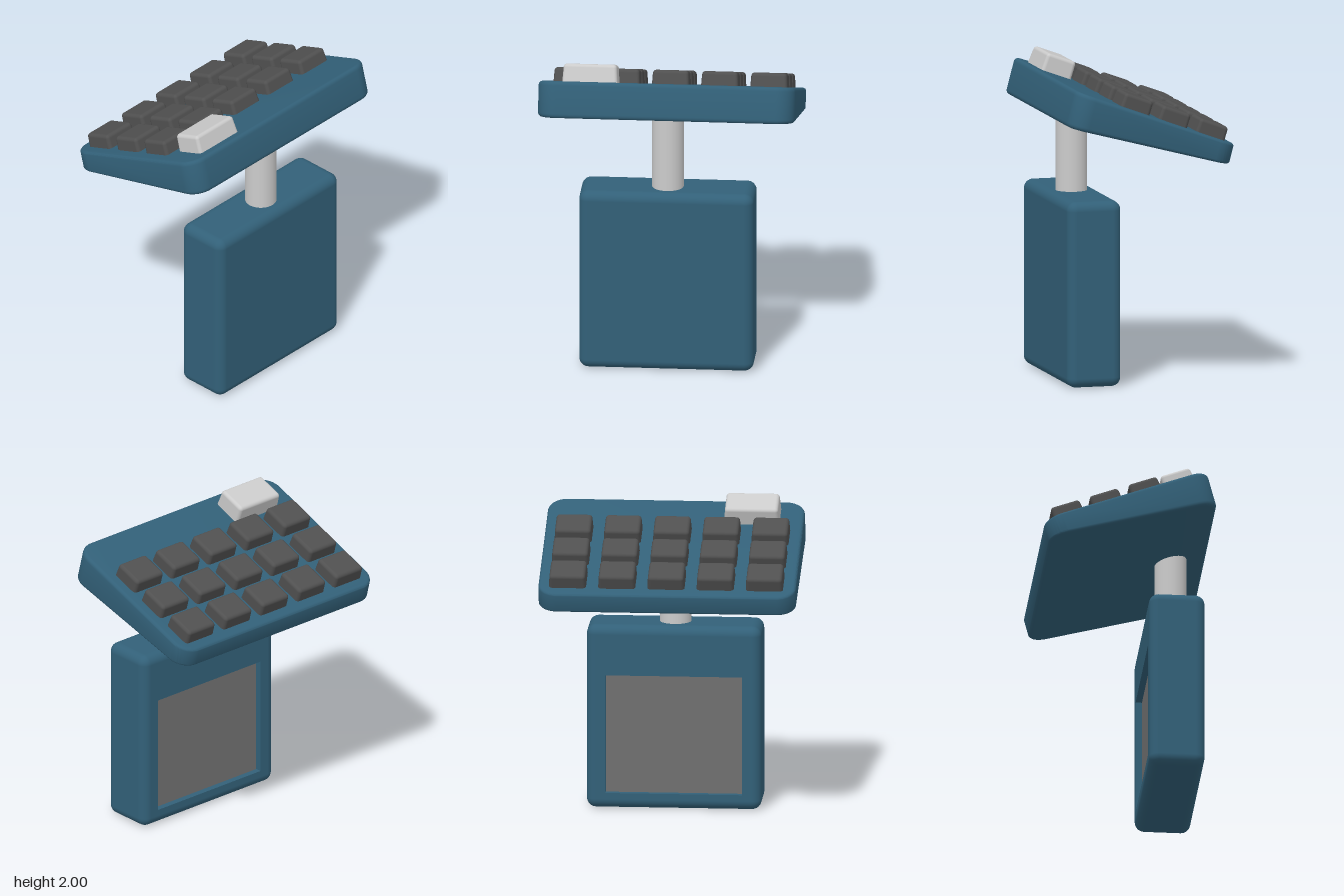
import * as THREE from 'three';
import { toCreasedNormals } from 'three/addons/utils/BufferGeometryUtils.js';
import { RoundedBoxGeometry } from 'three/addons/geometries/RoundedBoxGeometry.js';

const material = (color) => new THREE.MeshStandardMaterial({ color });
const blue = material(0x326078);
const dark = material(0x505050);
const light = material(0xcccccc);
const grey = material(0x707070);

function addMesh(parent, name, geometry, mat) {
  const mesh = new THREE.Mesh(geometry, mat);
  mesh.name = name;
  parent.add(mesh);
  return mesh;
}

function roundedRect(w, h, r) {
  const s = new THREE.Shape(), x = w / 2 - r, y = h / 2 - r;
  s.absarc(x, y, r, 0, Math.PI / 2);
  s.absarc(-x, y, r, Math.PI / 2, Math.PI);
  s.absarc(-x, -y, r, Math.PI, Math.PI * 1.5);
  s.absarc(x, -y, r, Math.PI * 1.5, Math.PI * 2);
  s.closePath();
  return s;
}

function rectPath(Type, x, y0, y1) {
  return new Type([[-x, y0], [x, y0], [x, y1], [-x, y1]].map(([a, b]) => new THREE.Vector2(a, b)));
}

// Rounded box whose flat -x face is left open
function openRoundedBox(w, h, d, r) {
  const g = new RoundedBoxGeometry(w, h, d, 5, r);
  const p = g.attributes.position, n = g.attributes.normal;
  const pos = [], nor = [];
  for (let i = 0; i < p.count; i += 3) {
    if ([0, 1, 2].every((k) => p.getX(i + k) < -w / 2 + 1e-4)) continue;
    for (let k = i; k < i + 3; k++) {
      pos.push(p.getX(k), p.getY(k), p.getZ(k));
      nor.push(n.getX(k), n.getY(k), n.getZ(k));
    }
  }
  const out = new THREE.BufferGeometry();
  out.setAttribute('position', new THREE.Float32BufferAttribute(pos, 3));
  out.setAttribute('normal', new THREE.Float32BufferAttribute(nor, 3));
  return out;
}

// Upright housing with a recessed panel on its -x side
function createHousing() {
  const group = new THREE.Group();
  group.name = 'housing';
  const w = 0.35, h = 1.18, d = 1.1, r = 0.06, depth = 0.04;
  const z = 0.43, y0 = 0.1 - h / 2, y1 = 0.86 - h / 2;
  addMesh(group, 'housingShell', openRoundedBox(w, h, d, r), blue);

  const frame = rectPath(THREE.Shape, d / 2 - r, r - h / 2, h / 2 - r);
  frame.holes.push(rectPath(THREE.Path, z, y0, y1));
  const face = new THREE.ShapeGeometry(frame).rotateY(-Math.PI / 2).translate(-w / 2, 0, 0);
  addMesh(group, 'panelFrame', face, blue);

  // Inner walls only: the two faces across x are dropped
  const walls = new THREE.BoxGeometry(depth, y1 - y0, z * 2);
  walls.setIndex(Array.from(walls.index.array).slice(12));
  walls.clearGroups();
  const inner = blue.clone();
  inner.side = THREE.DoubleSide;
  addMesh(group, 'recessWalls', walls, inner).position.set(-w / 2 + depth / 2, (y0 + y1) / 2, 0);

  const panel = new THREE.PlaneGeometry(z * 2, y1 - y0).rotateY(-Math.PI / 2);
  addMesh(group, 'panel', panel, grey).position.set(-w / 2 + depth, (y0 + y1) / 2, 0);
  group.position.set(0.31, h / 2, 0);
  return group;
}

// Tilted wedge that grows thicker toward +x
function createBoard() {
  const len = 1.096, thick = 0.183, grow = 0.052, bevel = 0.022;
  const g = new THREE.ExtrudeGeometry(roundedRect(len, 1.62, 0.12), {
    depth: thick - 2 * bevel, bevelEnabled: true, bevelThickness: bevel, bevelSize: bevel,
    bevelOffset: -bevel, bevelSegments: 4, curveSegments: 10,
  });
  g.translate(0, 0, bevel).rotateX(-Math.PI / 2);
  const p = g.attributes.position;
  for (let i = 0; i < p.count; i++) {
    const y = p.getY(i);
    p.setY(i, y + (p.getX(i) / (len / 2)) * grow * (y / thick));
  }
  const mesh = new THREE.Mesh(toCreasedNormals(g, 0.5), blue);
  mesh.name = 'board';
  mesh.position.set(0.015, 1.555, 0);
  mesh.rotation.z = 0.258;
  return mesh;
}

// Key cap standing on y = 0, slightly narrower at the top
function keyGeometry(w, h, d) {
  const sink = 0.03;
  const g = new RoundedBoxGeometry(w, h + sink, d, 3, 0.022);
  g.translate(0, (h - sink) / 2, 0);
  const p = g.attributes.position;
  for (let i = 0; i < p.count; i++) {
    const t = Math.max(0, p.getY(i)) / h;
    p.setX(i, p.getX(i) * (1 - 0.04 * t));
    p.setZ(i, p.getZ(i) * (1 - 0.05 * t));
  }
  return g;
}

function placeKey(mesh, x, z) {
  mesh.position.set(x, 1.541 + 0.37 * (x + 0.548), z);
  mesh.rotation.z = Math.atan(0.37);
}

export function createModel() {
  const model = new THREE.Group();
  model.name = 'keypadStand';
  model.add(createHousing(), createBoard());

  // Round post joining housing and board
  addMesh(model, 'post', new THREE.CylinderGeometry(0.1, 0.1, 0.54, 40), light)
    .position.set(0.315, 1.42, 0);

  // Three columns of five keys
  const keys = new THREE.Group();
  keys.name = 'keys';
  model.add(keys);
  const cap = keyGeometry(0.2, 0.088, 0.235);
  for (const x of [-0.387, -0.143, 0.102]) {
    for (let row = 0; row < 5; row++) {
      placeKey(addMesh(keys, 'key', cap, dark), x, -0.625 + 0.31 * row);
    }
  }

  // Large pale key
  placeKey(addMesh(keys, 'largeKey', keyGeometry(0.205, 0.112, 0.35), light), 0.322, 0.485);
  return model;
}
